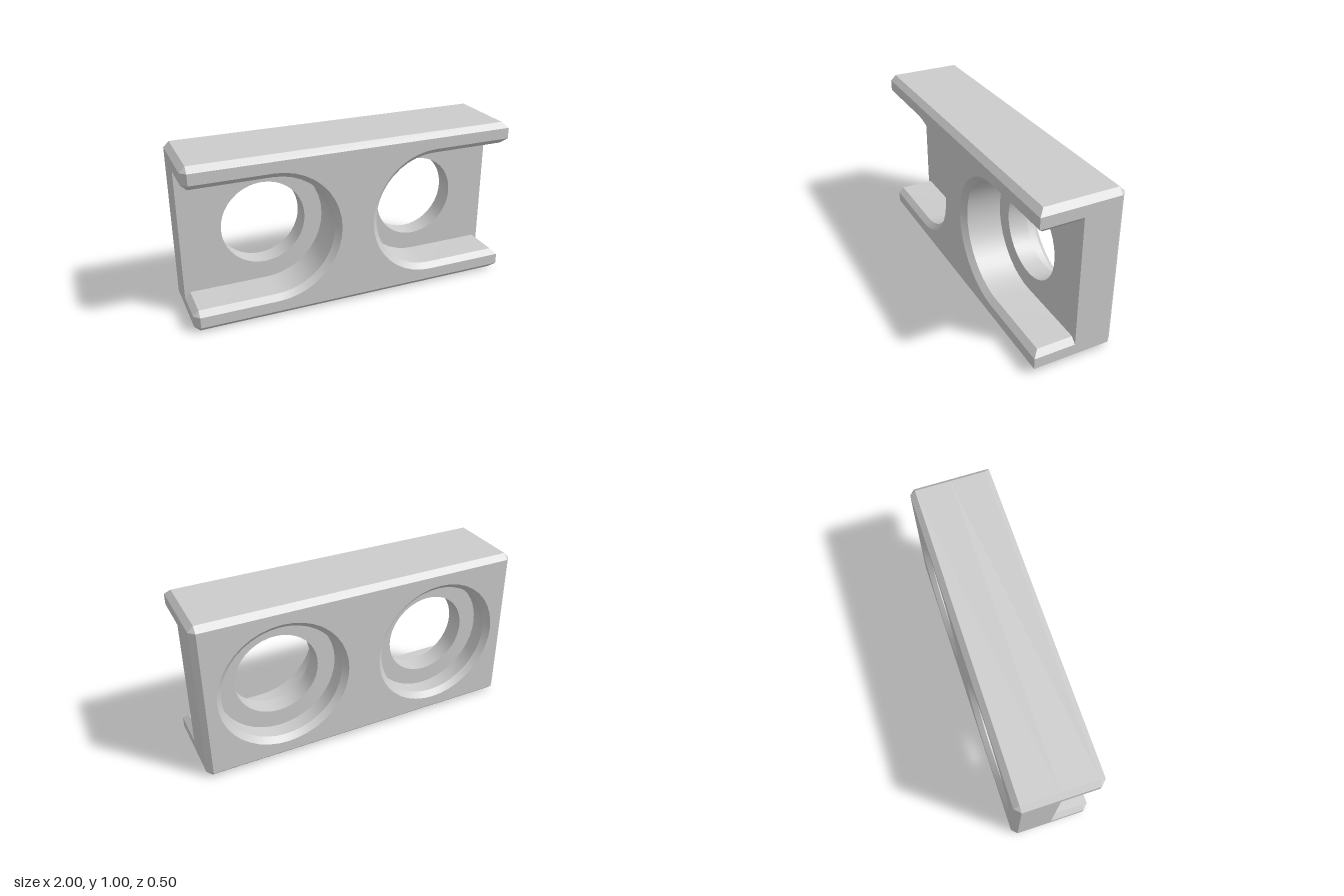
import * as THREE from 'three';
import { toCreasedNormals } from 'three/addons/utils/BufferGeometryUtils.js';

const C = 0.033;        // chamfer width
const SLOT_R = 0.367;   // slot and counterbore radius
const HOLE_R = 0.257;   // through-hole radius
const STEP_Z = -0.12;   // counterbore floor
const SEGMENTS = 40;

const material = new THREE.MeshStandardMaterial({ color: 0xcccccc });

// Joins rings of [x, y] points, each at its own z, into a wall
function loft(levels) {
  const pos = [];
  for (let k = 0; k < levels.length - 1; k++) {
    const [a, b] = [levels[k], levels[k + 1]];
    const n = a.ring.length;
    for (let i = 0; i < n; i++) {
      const j = (i + 1) % n;
      const a0 = [...a.ring[i], a.z], a1 = [...a.ring[j], a.z];
      const b0 = [...b.ring[i], b.z], b1 = [...b.ring[j], b.z];
      pos.push(...a0, ...a1, ...b1, ...a0, ...b1, ...b0);
    }
  }
  const geo = new THREE.BufferGeometry();
  geo.setAttribute('position', new THREE.Float32BufferAttribute(pos, 3));
  geo.computeVertexNormals();
  return toCreasedNormals(geo, 0.5);
}

// Clockwise circle, so that lofted walls face inward
function circle(cx, r) {
  return Array.from({ length: SEGMENTS }, (_, i) => {
    const t = -i / SEGMENTS * Math.PI * 2;
    return [cx + r * Math.cos(t), 0.5 + r * Math.sin(t)];
  });
}

// Edge of the open-ended slot on the +x side, from bottom to top
function slotEdge(r, endX, flare) {
  const pts = [[endX, 0.5 - SLOT_R - C], [endX - flare, 0.5 - r]];
  for (let i = 0; i <= SEGMENTS / 2; i++) {
    const t = Math.PI * (1.5 - i / (SEGMENTS / 2));
    pts.push([0.5 + r * Math.cos(t), 0.5 + r * Math.sin(t)]);
  }
  pts.push([endX - flare, 0.5 + r], [endX, 0.5 + SLOT_R + C]);
  return pts;
}

const turn = pts => pts.map(([x, y]) => [-x, 1 - y]);

// Half of the body outline; the other half is the same turned by 180 degrees
const sideHalf = middle => [[1 - C, 0], [1, C], ...middle, [1, 1 - C], [1 - C, 1]];
const frontHalf = endX => [
  [endX, C], [endX, C], ...slotEdge(SLOT_R + C, endX, 0), [endX, 1 - C], [endX, 1 - C],
];

function flat(outline, holes, z) {
  const toPath = pts => pts.map(([x, y]) => new THREE.Vector2(x, y));
  const shape = new THREE.Shape(toPath(outline));
  for (const h of holes) shape.holes.push(new THREE.Path(toPath(h)));
  return new THREE.ShapeGeometry(shape).translate(0, 0, z);
}

export function createModel() {
  const model = new THREE.Group();
  model.name = 'twoHoleBlock';
  const add = (name, geo) => {
    const mesh = new THREE.Mesh(geo, material);
    mesh.name = name;
    model.add(mesh);
    return mesh;
  };

  // Front half: outer sides and slot walls, ending in the front chamfer
  const slot = slotEdge(SLOT_R, 1, C);
  const half = sideHalf(slot);
  const section = [...half, ...turn(half)];
  // the front chamfer runs round the -x end only
  const front = [...frontHalf(1), ...turn(frontHalf(1 - C))];
  add('frontWalls', loft([
    { ring: section, z: 0 },
    { ring: section, z: 0.25 - C },
    { ring: front, z: 0.25 },
  ]));
  add('frontFace', flat(front, [], 0.25));

  // Back half: plain chamfered block
  const plain = sideHalf([]);
  const block = [...plain, ...turn(plain)];
  const i = 1 - C;
  const backHalf = [[i, C], [i, C], [i, i], [i, i]];
  const back = [...backHalf, ...turn(backHalf)];
  add('backWalls', loft([
    { ring: back, z: -0.25 },
    { ring: block, z: -0.25 + C },
    { ring: block, z: 0 },
  ]));
  const backFace = add('backFace',
    flat(back, [circle(-0.5, SLOT_R + C), circle(0.5, SLOT_R + C)], 0.25));
  backFace.rotation.y = Math.PI;

  // Slot floors and stepped holes
  for (const side of [1, -1]) {
    const label = side > 0 ? 'left' : 'right';
    const cx = 0.5 * side;
    add(label + 'SlotFloor', flat(side > 0 ? slot : turn(slot), [circle(cx, HOLE_R)], 0));
    const profile = [
      [SLOT_R + C, -0.25], [SLOT_R, -0.25 + C], [SLOT_R, STEP_Z], [HOLE_R, STEP_Z], [HOLE_R, 0],
    ];
    add(label + 'SteppedHole', loft(profile.map(([r, z]) => ({ ring: circle(cx, r), z }))));
  }
  return model;
}
